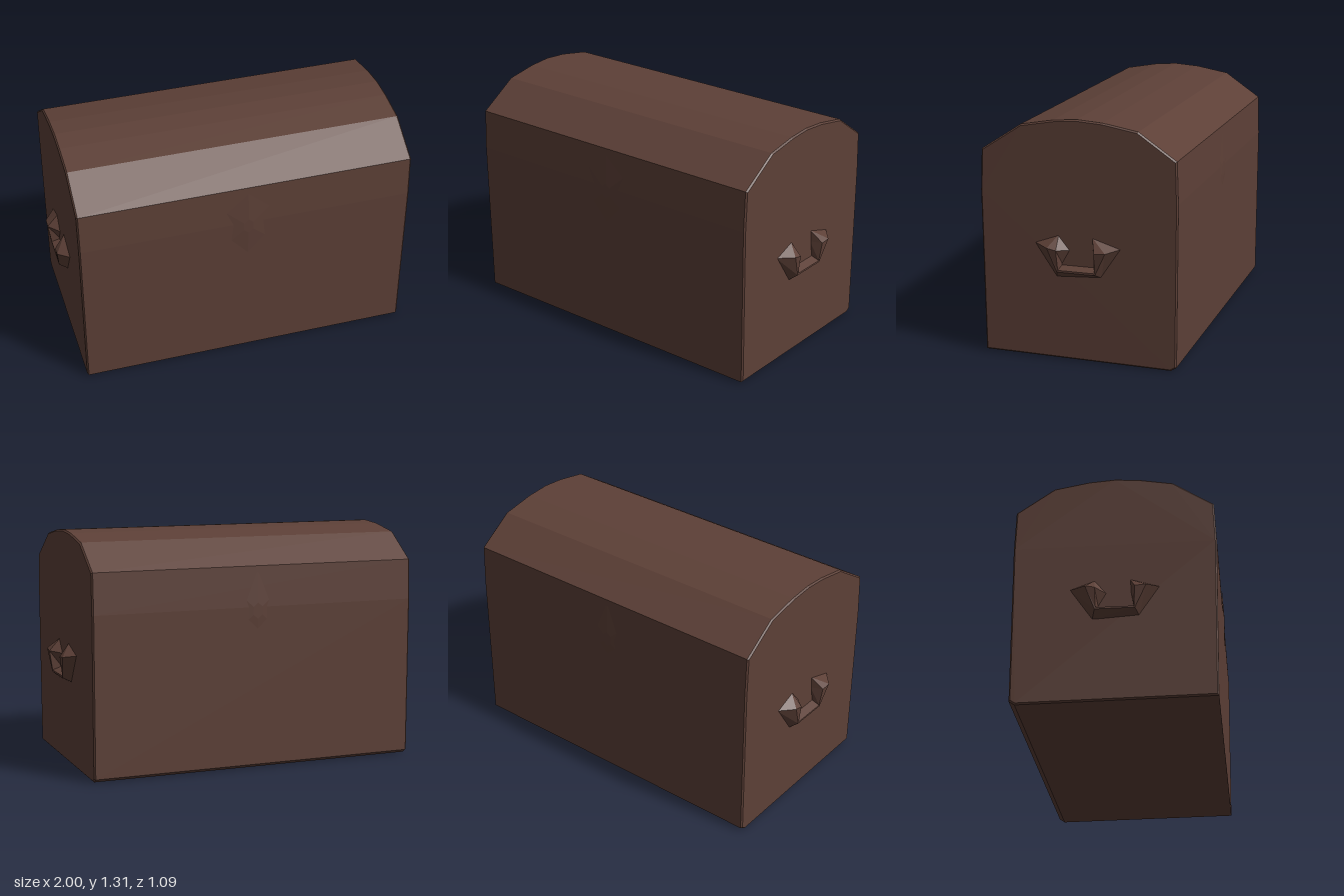
import * as THREE from 'three';

export function createModel() {
  const group = new THREE.Group();
  const wood = new THREE.MeshStandardMaterial({ color: 0x5d4037, flatShading: true });
  wood.name = 'darkBrown';

  function add(name, geometry) {
    const mesh = new THREE.Mesh(geometry, wood);
    mesh.name = name;
    group.add(mesh);
    return mesh;
  }

  // Chest and arched lid: end profile as [z, y], run along x
  const profile = [
    [0.53, 0.01], [0.54, 0.9], [0.53, 1.125], [0.31, 1.268], [0.13, 1.3], [0, 1.31],
    [-0.14, 1.3], [-0.33, 1.266], [-0.535, 1.125], [-0.543, 0.9], [-0.54, 0.02], [-0.51, 0],
  ];
  const shape = new THREE.Shape(profile.map(([z, y]) => new THREE.Vector2(-z, y)));
  const bevel = 0.008;
  const body = new THREE.ExtrudeGeometry(shape, {
    depth: 1.88 - 2 * bevel, steps: 1, bevelEnabled: true, bevelSegments: 1,
    bevelSize: bevel, bevelThickness: bevel, bevelOffset: -bevel,
  });
  body.translate(0, 0, -0.94 + bevel).rotateY(Math.PI / 2);
  add('chestBody', body);

  // Shallow worn swelling on the front and back faces
  for (const side of [1, -1]) {
    const swell = new THREE.CylinderGeometry(0.03, 0.14, 0.009, 6);
    swell.rotateX(side * Math.PI / 2).scale(1, 1.5, 1).translate(0, 0.88, side * 0.541);
    add(side > 0 ? 'frontSwelling' : 'backSwelling', swell);
  }

  // Handle: U-shaped loft; each section runs outer wall, two ridge points, inner wall as [x, y, z]
  const wall = 0.935;
  const tip = (y, z) => Array(4).fill([wall, y, z]);
  const sections = [
    tip(0.69, 0.105),
    [[wall, 0.64, 0.24], [1, 0.63, 0.15], [1, 0.62, 0.1], [wall, 0.61, 0.04]],
    [[wall, 0.46, 0.118], [0.985, 0.5, 0.1], [0.985, 0.51, 0.095], [wall, 0.53, 0.085]],
    [[wall, 0.475, -0.13], [0.985, 0.5, -0.11], [0.985, 0.51, -0.105], [wall, 0.53, -0.1]],
    [[wall, 0.64, -0.24], [1, 0.625, -0.17], [1, 0.62, -0.11], [wall, 0.62, -0.085]],
    tip(0.69, -0.08),
  ];
  const points = [];
  for (let i = 0; i < sections.length - 1; i++) {
    for (let j = 0; j < 3; j++) {
      const a = sections[i][j], b = sections[i][j + 1];
      const c = sections[i + 1][j + 1], d = sections[i + 1][j];
      if (i < sections.length - 2) points.push(...a, ...d, ...c);
      if (i > 0) points.push(...a, ...c, ...b);
    }
  }
  // The first and last sections are single points, so their fans need the remaining triangle
  for (let j = 0; j < 3; j++) {
    points.push(...sections[5][j], ...sections[4][j + 1], ...sections[4][j]);
  }
  const handle = new THREE.BufferGeometry();
  handle.setAttribute('position', new THREE.Float32BufferAttribute(points, 3));
  handle.computeVertexNormals();
  add('leftHandle', handle);
  add('rightHandle', handle.clone().rotateY(Math.PI));

  return group;
}
